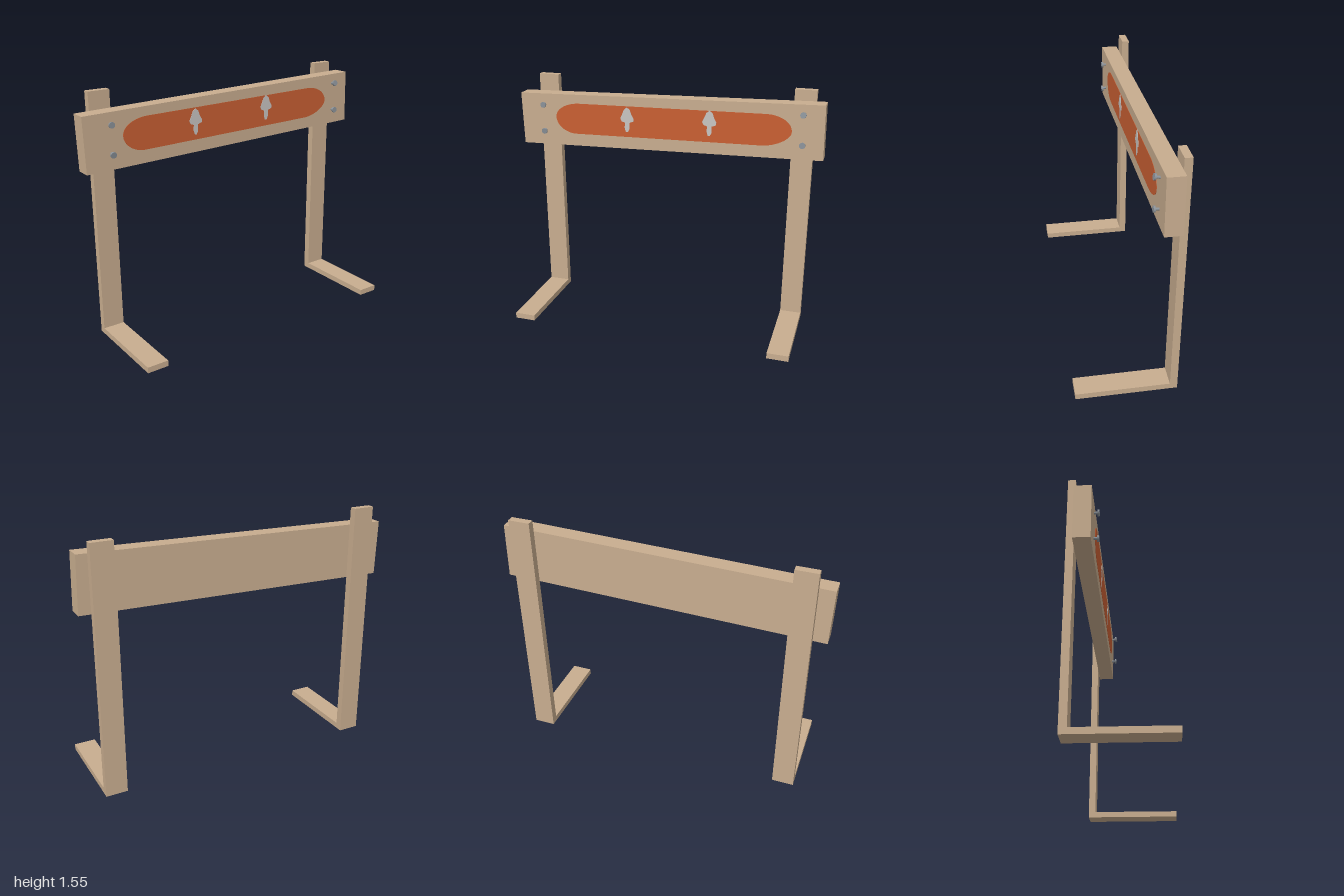
import * as THREE from 'three';

const wood = new THREE.MeshStandardMaterial({ color: 0xc8ad8f });
wood.name = 'wood';
const orange = new THREE.MeshStandardMaterial({ color: 0xc95f33 });
orange.name = 'orange paint';
const pale = new THREE.MeshStandardMaterial({ color: 0xc8c5c2 });
pale.name = 'pale grey paint';
const steel = new THREE.MeshStandardMaterial({ color: 0x8b9299 });
steel.name = 'steel';

function add(parent, name, geometry, material, x = 0, y = 0, z = 0) {
  const mesh = new THREE.Mesh(geometry, material);
  mesh.name = name;
  mesh.position.set(x, y, z);
  parent.add(mesh);
  return mesh;
}

const polygon = (points) => new THREE.Shape(points.map(([x, y]) => new THREE.Vector2(x, y)));
const extrude = (shape, depth) =>
  new THREE.ExtrudeGeometry(shape, { depth, bevelEnabled: false, curveSegments: 16 });

// L-shaped stand: upright post with a foot towards +x
function standGeometry() {
  const shape = polygon([
    [-0.305, 0], [0.305, 0], [0.305, 0.037], [-0.26, 0.037], [-0.26, 1.55], [-0.305, 1.55],
  ]);
  return extrude(shape, 0.135).translate(0, 0, -0.0675);
}

// Long painted panel with elliptical ends, drawn along -z
function panelShape() {
  const s = new THREE.Shape();
  s.moveTo(-0.61, 1.185);
  s.lineTo(0.61, 1.21);
  s.bezierCurveTo(0.7, 1.21, 0.8, 1.26, 0.8, 1.31);
  s.bezierCurveTo(0.8, 1.36, 0.74, 1.41, 0.64, 1.41);
  s.lineTo(-0.6, 1.388);
  s.bezierCurveTo(-0.69, 1.38, -0.75, 1.34, -0.75, 1.29);
  s.bezierCurveTo(-0.75, 1.235, -0.69, 1.185, -0.61, 1.185);
  return s;
}

// Upward arrow mark, measured from its tip
const arrowShape = polygon([
  [0, 0], [0.02, -0.015], [0.03, -0.045], [0.045, -0.072], [0.043, -0.09], [0.016, -0.1],
  [0.016, -0.14], [0.005, -0.162], [-0.008, -0.162], [-0.016, -0.135], [-0.014, -0.1],
  [-0.035, -0.094], [-0.046, -0.075], [-0.03, -0.04], [-0.02, -0.015],
]);

// Bolt along +x: shank and wider head
function addBolt(parent, y, z, tilt, reach) {
  const bolt = new THREE.Group();
  bolt.name = 'bolt';
  bolt.position.set(-0.16, y, z);
  bolt.rotation.z = tilt - Math.PI / 2;
  add(bolt, 'boltShank', new THREE.CylinderGeometry(0.008, 0.008, reach + 0.01, 12), steel, 0, reach / 2 - 0.005);
  add(bolt, 'boltHead', new THREE.CylinderGeometry(0.019, 0.019, 0.011, 16), steel, 0, reach);
  parent.add(bolt);
}

export function createModel() {
  const model = new THREE.Group();
  model.name = 'barrier';

  // Two stands
  add(model, 'frontStand', standGeometry(), wood, 0, 0, 0.838);
  add(model, 'backStand', standGeometry(), wood, 0, 0, -0.858);

  // Slightly tilted cross board
  const board = add(model, 'crossBoard', new THREE.BoxGeometry(0.102, 0.342, 1.99), wood, -0.209, 1.29, 0);
  board.rotation.x = 0.025;

  // Painted panel and arrow marks on the board's face
  const panel = add(model, 'paintedPanel', extrude(panelShape(), 0.004), orange, -0.16);
  panel.rotation.y = Math.PI / 2;
  for (const [y, z] of [[1.387, 0.255], [1.405, -0.288]]) {
    const arrow = add(model, 'arrowMark', extrude(arrowShape, 0.006), pale, -0.16, y, z);
    arrow.rotation.y = Math.PI / 2;
  }

  // Bolts fixing the board to the posts
  addBolt(model, 1.37, 0.83, 0, 0.028);
  addBolt(model, 1.197, 0.83, -0.12, 0.029);
  addBolt(model, 1.418, -0.865, 0.2, 0.032);
  addBolt(model, 1.235, -0.87, 0.05, 0.029);

  return model;
}
